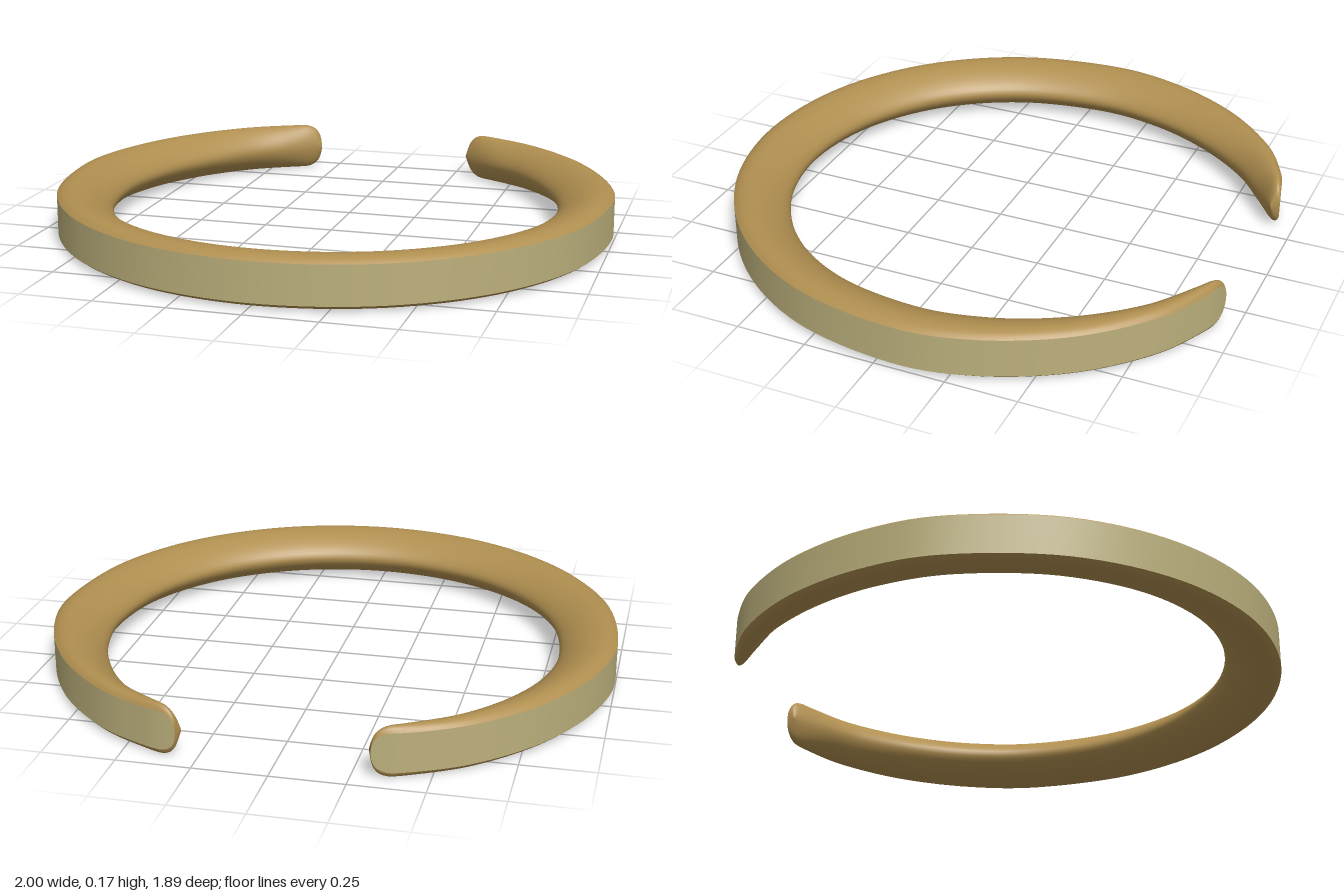
import * as THREE from 'three';

const HALF_HEIGHT = 0.0875;

// Half outlines seen from above (x, z), front centre to tip
const outerHalf = [[0, 0.94], [0.383, 0.864], [0.707, 0.647], [0.924, 0.323], [1, -0.06],
  [0.952, -0.345], [0.815, -0.61], [0.62, -0.81], [0.43, -0.915], [0.315, -0.947]];
const innerHalf = [[0, 0.745], [0.308, 0.684], [0.569, 0.509], [0.74, 0.247], [0.8, -0.06],
  [0.765, -0.31], [0.675, -0.52], [0.545, -0.705], [0.41, -0.825], [0.303, -0.917]];

// Mirror a half outline into one smooth curve from tip to tip
function outline(half) {
  const right = half.map(([x, z]) => new THREE.Vector2(x, z));
  const left = half.slice(1).reverse().map(([x, z]) => new THREE.Vector2(-x, z));
  return new THREE.SplineCurve([...left, ...right]);
}

// Stations along the ring, packed closer together at the rounded tips
function stations() {
  const half = [];
  for (let i = 0; i <= 66; i++) half.push((8.3 * i) / 66);
  for (let i = 1; i <= 12; i++) half.push(8.3 + 0.7 * Math.sin((i / 12) * Math.PI / 2));
  return [...half.slice(1).reverse().map((s) => -s), ...half];
}

// Sweep a profile of (depth from outer to inner, height -1..1) along the ring
function sweep(profile) {
  const outer = outline(outerHalf), inner = outline(innerHalf);
  const positions = [], index = [], n = profile.length;
  stations().forEach((s, row) => {
    const t = (s + 9) / 18;
    const o = outer.getPoint(t), i = inner.getPoint(t);
    const d = Math.max(0, (Math.abs(s) - 8.3) / 0.7);
    const h = HALF_HEIGHT * Math.sqrt(Math.max(0, 1 - d * d));
    profile.forEach((p, k) => {
      positions.push(o.x + (i.x - o.x) * p.x, HALF_HEIGHT + p.y * h, o.y + (i.y - o.y) * p.x);
      if (row > 0 && k > 0) {
        const b = row * n + k, a = b - n;
        index.push(a - 1, b - 1, b, a - 1, b, a);
      }
    });
  });
  const geometry = new THREE.BufferGeometry();
  geometry.setAttribute('position', new THREE.Float32BufferAttribute(positions, 3));
  geometry.setIndex(index);
  geometry.computeVertexNormals();
  return geometry;
}

export function createModel() {
  const bronze = new THREE.MeshStandardMaterial({ color: 0xb08f50, side: THREE.DoubleSide });
  bronze.name = 'bronze';
  const paleBrass = new THREE.MeshStandardMaterial({ color: 0xbcb07c, side: THREE.DoubleSide });
  paleBrass.name = 'pale brass';

  const group = new THREE.Group();
  group.name = 'openCuff';

  // Rounded inner body: a D-shaped section, top edge round to bottom edge
  const top = [[0, 0.78], [0.1, 0.93], [0.26, 1], [0.48, 0.93], [0.72, 0.7], [0.92, 0.36]];
  const section = [...top, [1, 0], ...top.slice().reverse().map(([u, y]) => [u, -y])];
  const curve = new THREE.SplineCurve(section.map(([u, y]) => new THREE.Vector2(u, y)));
  const body = new THREE.Mesh(sweep(curve.getPoints(36)), bronze);
  body.name = 'roundedBody';

  // Flat outer face
  const face = [new THREE.Vector2(0, -0.78), new THREE.Vector2(0, 0), new THREE.Vector2(0, 0.78)];
  const band = new THREE.Mesh(sweep(face), paleBrass);
  band.name = 'outerBand';

  group.add(body, band);
  return group;
}
